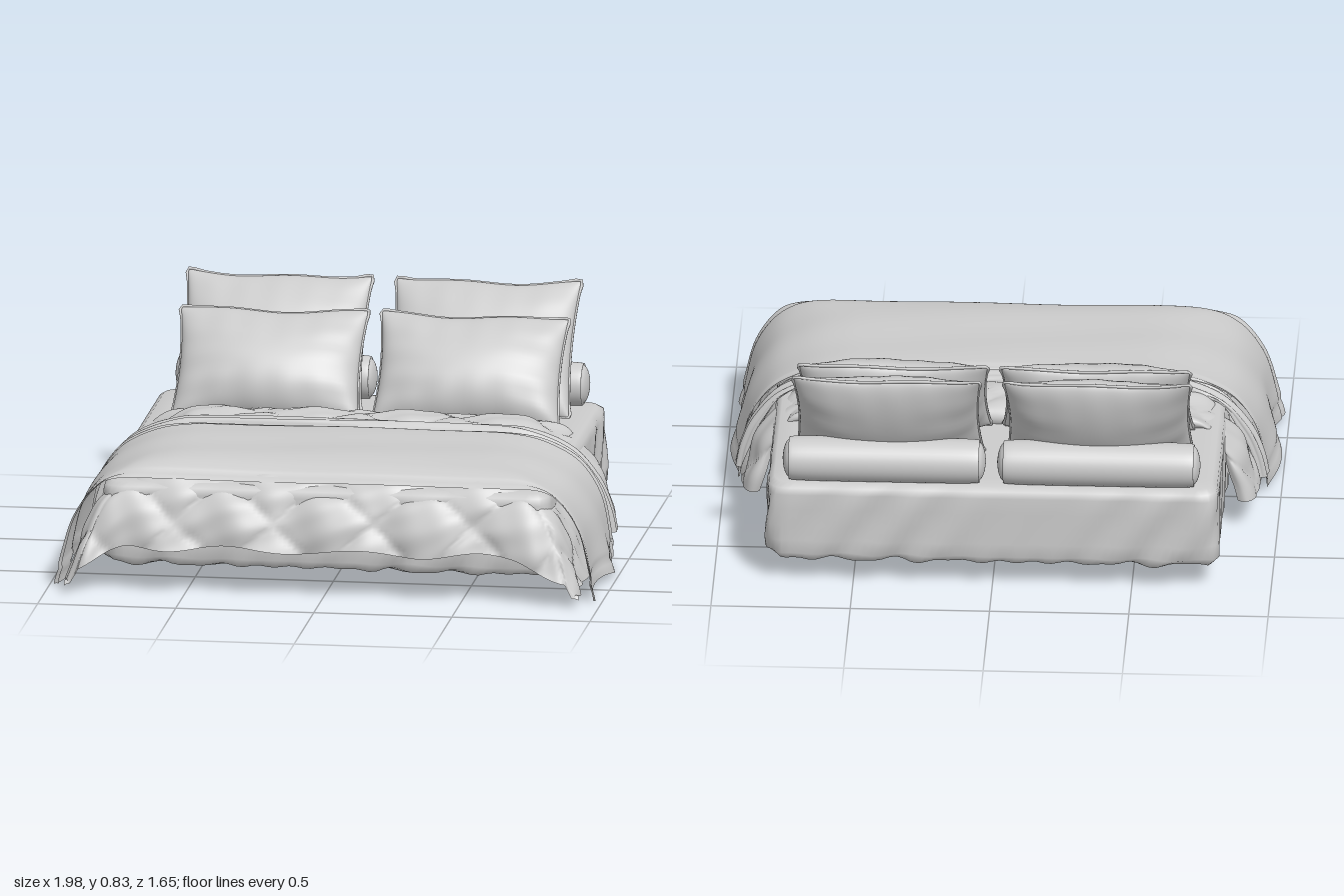
import * as THREE from 'three';

const linen = new THREE.MeshStandardMaterial({ color: 0xcbcbcb, side: THREE.DoubleSide });
linen.name = 'light grey linen';

// Smooth surface from fn(u, v) -> [x, y, z]; front side is dv x du. bump(u, v) pushes along the normal.
function surface(nu, nv, fn, { wrap = false, bump } = {}) {
  const cols = wrap ? nu : nu + 1, pos = [], index = [];
  for (let j = 0; j <= nv; j++)
    for (let i = 0; i < cols; i++) pos.push(...fn(i / nu, j / nv));
  for (let j = 0; j < nv; j++)
    for (let i = 0; i < nu; i++) {
      const k = (i + 1) % cols, a = j * cols + i, b = j * cols + k, c = a + cols, d = b + cols;
      index.push(a, c, b, b, c, d);
    }
  const geo = new THREE.BufferGeometry();
  geo.setAttribute('position', new THREE.Float32BufferAttribute(pos, 3));
  geo.setIndex(index);
  geo.computeVertexNormals();
  if (bump) {
    const p = geo.attributes.position, n = geo.attributes.normal;
    for (let q = 0; q < p.count; q++) {
      const h = bump((q % cols) / nu, Math.floor(q / cols) / nv);
      p.setXYZ(q, p.getX(q) + n.getX(q) * h, p.getY(q) + n.getY(q) * h, p.getZ(q) + n.getZ(q) * h);
    }
    geo.computeVertexNormals();
  }
  return geo;
}

function part(name, geo) {
  const mesh = new THREE.Mesh(geo, linen);
  mesh.name = name;
  return mesh;
}

const spline = pts => new THREE.SplineCurve(pts.map(p => new THREE.Vector2(...p)));
const step = THREE.MathUtils.smoothstep;
const softMin = (a, b, k = 0.03) => Math.min(a, b) - Math.max(k - Math.abs(a - b), 0) ** 2 / (4 * k);
const ridge = (d, w) => Math.exp(-((d / w) ** 2));

// Cloth laid over the bed: half profile across (x, y), full profile along (z, y)
function cloth(name, across, along, { pinch = 0, bump, adjust, nu = 140, nv = 50 }) {
  const cx = spline(across), cz = spline(along);
  const top = Math.max(...along.map(p => p[1]));
  const lx = cx.getLength(), lz = cz.getLength();
  return part(name, surface(nu, nv, (u, v) => {
    const s = u * 2 - 1, a = cx.getPointAt(Math.abs(s)), b = cz.getPointAt(v);
    const side = 1 - step(a.y, 0.3, 0.46);
    const x = Math.sign(s) * (a.x - pinch * side * (top - b.y));
    const p = [x, softMin(a.y, b.y), b.x];
    if (adjust) adjust(p, s, v);
    return p;
  }, { bump: bump && ((u, v) => bump((u * 2 - 1) * lx, v * lz, u * 2 - 1, v)) }));
}

// Puffed diamonds between stitched lines
const quilt = (s, t, h) => {
  const a = Math.PI * (s / 0.36 + t / 0.34), b = Math.PI * (s / 0.36 - t / 0.34);
  return h * (Math.sqrt(Math.abs(Math.sin(a) * Math.sin(b))) - 0.6) + 0.004 * Math.sin(s * 31 + t * 23) * Math.sin(t * 37 - s * 9);
};

// Mattress in a fitted sheet, open underneath with a gathered rim
function mattress() {
  const rings = [[0.15, 0.13, 0.22], [0.11, 0.11, 0.2], [0.05, 0.1, 0.14], [0.015, 0.105, 0.08], [0, 0.13, 0.06],
    [0, 0.18, 0.06], [0, 0.24, 0.06], [0, 0.3, 0.06], [0, 0.36, 0.06], [0.006, 0.385, 0.06], [0.025, 0.4, 0.06],
    [0.08, 0.405, 0.06], [0.4, 0.407, 0.05], [0.74, 0.407, 0.01]];
  const n = rings.length - 1;
  const corners = [[1, -1], [1, 1], [-1, 1], [-1, -1]];
  const clamp = THREE.MathUtils.clamp;
  return part('mattress', surface(240, n, (u, v) => {
    const [inset, y, r] = rings[Math.round(v * n)];
    const hx = 0.81 - inset, hz = 0.76 - inset;
    const k = Math.floor(u * 4) % 4, f = u * 4 - Math.floor(u * 4);
    const c = corners[k], d = corners[(k + 1) % 4];
    const qx = hx * (c[0] + (d[0] - c[0]) * f), qz = hz * (c[1] + (d[1] - c[1]) * f);
    const ix = clamp(qx, r - hx, hx - r), iz = clamp(qz, r - hz, hz - r);
    const len = Math.hypot(qx - ix, qz - iz) || 1;
    return [ix + (qx - ix) / len * r, y, iz + (qz - iz) / len * r - 0.04];
  }, {
    wrap: true,
    bump: (u, v) => {
      const w = step(v, 0.1, 0.25) * (1 - step(v, 0.5, 0.72));
      return w * 0.01 * Math.sin(u * 190 + v * 16) * (0.5 + 0.5 * Math.sin(u * 41 + 1)) + (v < 0.3 ? 0.004 * Math.sin(u * 330) : 0);
    }
  }));
}

// Plump pillow with pulled-out corners and a piped seam
function pillow(name, w, h, t, seed) {
  const group = new THREE.Group();
  group.name = name;
  const edge = (a, b) => [w / 2 * a * (1 - 0.05 * (1 - b * b)), h / 2 * b * (1 - 0.06 * (1 - a * a)) + 0.006 * Math.sin(a * 5 + seed)];
  const ease = q => Math.sin((q - 0.5) * Math.PI);
  for (const s of [1, -1]) {
    group.add(part(s > 0 ? 'pillowFront' : 'pillowBack', surface(44, 32, (u, v) => {
      const a = ease(u), b = -s * ease(v);
      const fold = 1 + 0.05 * Math.sin(a * 17 + seed) * b * b + 0.05 * Math.sin(b * 13 + seed * 2) * a * a;
      const z = t * Math.max(0, 1 - a * a) ** 0.45 * Math.max(0, 1 - b * b) ** 0.6 * (1 - 0.22 * b) * fold;
      return [...edge(a, b), s * z];
    })));
  }
  const rim = [];
  for (const [ax, ay, dx, dy] of [[-1, -1, 1, 0], [1, -1, 0, 1], [1, 1, -1, 0], [-1, 1, 0, -1]])
    for (let i = 0; i < 10; i++)
      rim.push(new THREE.Vector3(...edge(ax + dx * i / 5, ay + dy * i / 5), 0));
  group.add(part('pillowPiping', new THREE.TubeGeometry(new THREE.CatmullRomCurve3(rim, true), 120, 0.006, 6, true)));
  return group;
}

// Round bolster with softly domed ends
function bolster(length, r) {
  const half = length / 2;
  const prof = [[0.001, -half], [r * 0.5, -half + 0.006], [r * 0.85, -half + 0.022], [r, -half + 0.06], [r * 1.02, 0],
    [r, half - 0.06], [r * 0.85, half - 0.022], [r * 0.5, half - 0.006], [0.001, half]];
  const geo = new THREE.LatheGeometry(spline(prof).getPoints(48), 36);
  geo.rotateZ(Math.PI / 2);
  return part('bolster', geo);
}

export function createModel() {
  const bed = new THREE.Group();
  bed.name = 'bedding';
  bed.add(mattress());

  // Quilt hanging over the foot, with low drooping corners
  bed.add(cloth('quilt',
    [[0, 0.462], [0.5, 0.455], [0.66, 0.43], [0.78, 0.36], [0.86, 0.25], [0.9, 0.15], [0.93, 0.07]],
    [[0, 0.46], [0.3, 0.465], [0.52, 0.46], [0.64, 0.435], [0.72, 0.37], [0.765, 0.27], [0.785, 0.18]],
    {
      nv: 80,
      bump: (s, t) => quilt(s, t, t > 0.6 ? 0.024 : 0.006),
      adjust: (p, s, v) => {
        const corner = step(Math.abs(p[0]), 0.68, 0.92), low = step(v, 0.75, 1);
        p[1] = Math.max(0.045, p[1] - 0.09 * corner * low + 0.012 * low * Math.sin(p[0] * 14));
        p[2] += 0.03 * low * corner + 0.012 * low * Math.sin(p[0] * 19);
      }
    }));

  // Quilted turn-back near the pillows
  bed.add(cloth('quiltTurnback',
    [[0, 0.492], [0.5, 0.482], [0.65, 0.455], [0.77, 0.4], [0.86, 0.31], [0.91, 0.2], [0.935, 0.12]],
    [[-0.255, 0.4], [-0.27, 0.43], [-0.25, 0.462], [-0.18, 0.487], [-0.1, 0.49], [-0.06, 0.47], [-0.035, 0.43]],
    { pinch: 0.8, bump: (s, t) => quilt(s, t - 0.16, 0.02) }));

  // Rolled fold between turn-back and throw
  bed.add(cloth('rolledFold',
    [[0, 0.495], [0.5, 0.487], [0.66, 0.462], [0.8, 0.4], [0.89, 0.3], [0.935, 0.2], [0.955, 0.11]],
    [[-0.045, 0.42], [-0.05, 0.46], [-0.025, 0.492], [0.005, 0.492], [0.03, 0.465], [0.04, 0.42]],
    { pinch: 0.5, nv: 20, bump: (s, t) => 0.005 * Math.sin(t * 120 + Math.sin(s * 5)) }));

  // Smooth throw across the lower bed, longest at the sides
  bed.add(cloth('throwBlanket',
    [[0, 0.49], [0.45, 0.487], [0.62, 0.47], [0.74, 0.435], [0.84, 0.375], [0.915, 0.27], [0.955, 0.14], [0.98, 0.03]],
    [[0.045, 0.455], [0.055, 0.482], [0.15, 0.492], [0.45, 0.492], [0.58, 0.477], [0.65, 0.452], [0.7, 0.415]],
    {
      nv: 60,
      bump: (s, t, u, v) => 0.004 * Math.sin(s * 6 + t * 9) * Math.sin(t * 11 - s * 3)
        - 0.006 * (ridge(v - 0.06, 0.012) + ridge(v - 0.95, 0.012) + ridge(Math.abs(u) - 0.96, 0.01)),
      adjust: (p, s, v) => {
        const hang = Math.abs(s) ** 8;
        p[0] += Math.sign(s) * hang * (0.02 * Math.sin(v * 9 - 2) - 0.012);
        p[1] += hang * (0.016 * Math.cos(v * 9 + 1.2) - 0.004);
        p[2] += 0.006 * hang * Math.sin(s * 3);
      }
    }));

  // Pairs of bolsters and leaning pillows
  for (const side of [-1, 1]) {
    const roll = bolster(0.73, 0.08);
    roll.position.set(side * 0.385 + 0.005, 0.475, -0.728);
    const back = pillow('backPillow', 0.67, 0.54, 0.115, side + 2);
    back.position.set(side * 0.378, 0.615, -0.65);
    back.rotation.x = -0.65;
    const front = pillow('frontPillow', 0.68, 0.44, 0.12, side + 5);
    front.position.set(side * 0.363 + 0.003, 0.585, -0.415);
    front.rotation.x = -0.65;
    bed.add(roll, back, front);
  }
  return bed;
}
